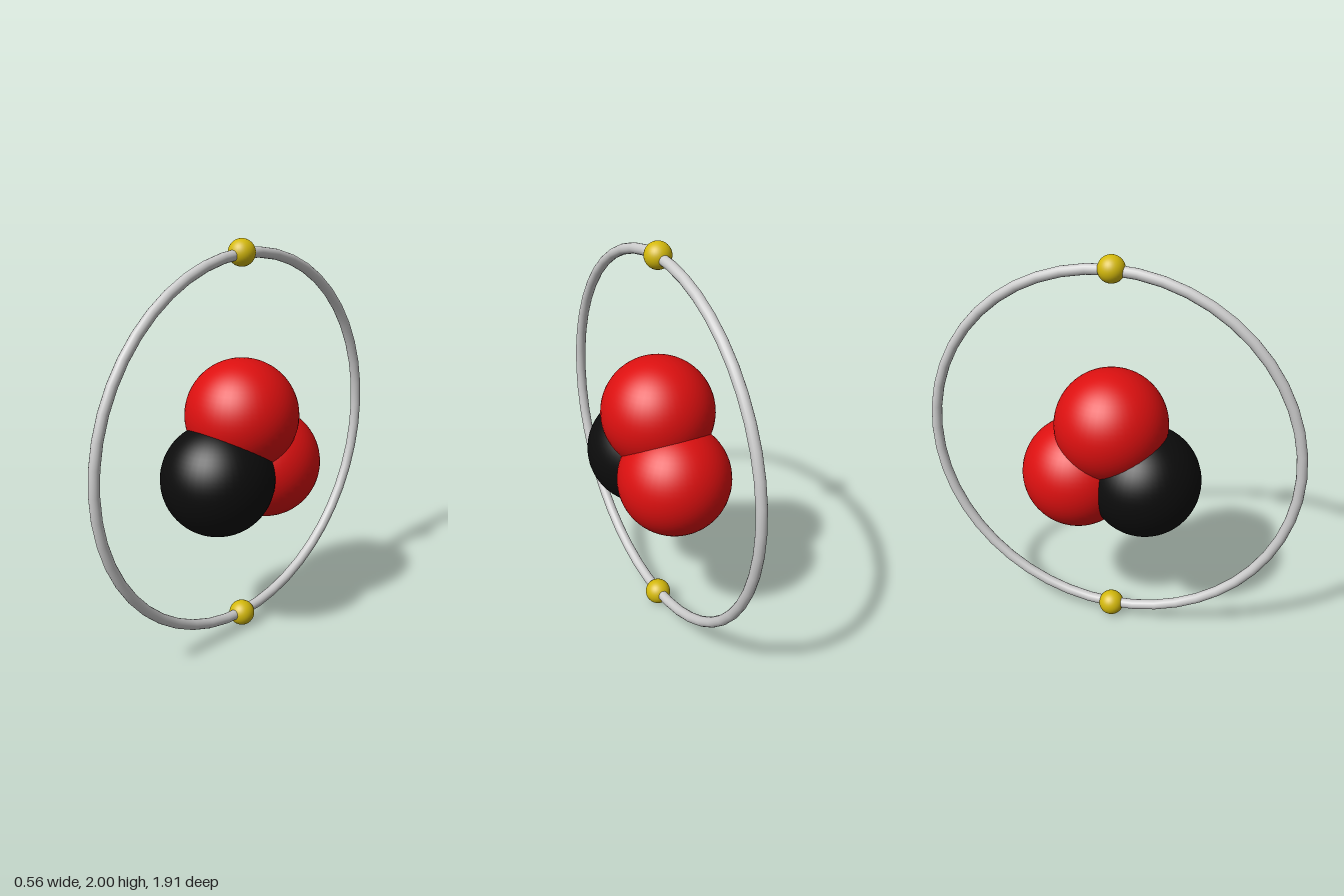
import * as THREE from 'three';

const RED = 0xdd1010, BLACK = 0x0c0c0c, YELLOW = 0xd4b90c, GREY = 0xcccccc;

export function createModel() {
  const model = new THREE.Group();
  model.name = 'atom';

  const add = (parent, name, geometry, color, y, z) => {
    const mesh = new THREE.Mesh(geometry, new THREE.MeshStandardMaterial({ color }));
    mesh.name = name;
    mesh.position.set(0, y, z);
    parent.add(mesh);
    return mesh;
  };

  // Nucleus: three overlapping balls in a triangle
  const nucleus = new THREE.Group();
  nucleus.name = 'nucleus';
  model.add(nucleus);
  const ball = new THREE.SphereGeometry(0.28, 48, 32);
  add(nucleus, 'topProton', ball, RED, 1.148, 0);
  add(nucleus, 'backProton', ball, RED, 0.862, -0.172);
  add(nucleus, 'frontNeutron', ball, BLACK, 0.862, 0.172);

  // Upright orbit ring, lying in the y-z plane
  const ring = add(model, 'orbitRing', new THREE.TorusGeometry(0.931, 0.026, 16, 48), GREY, 1, 0);
  ring.rotation.y = Math.PI / 2;

  // Electrons at the top and bottom of the ring
  const electron = new THREE.SphereGeometry(0.065, 32, 24);
  add(model, 'topElectron', electron, YELLOW, 1.935, 0);
  add(model, 'bottomElectron', electron, YELLOW, 0.065, 0);

  return model;
}
